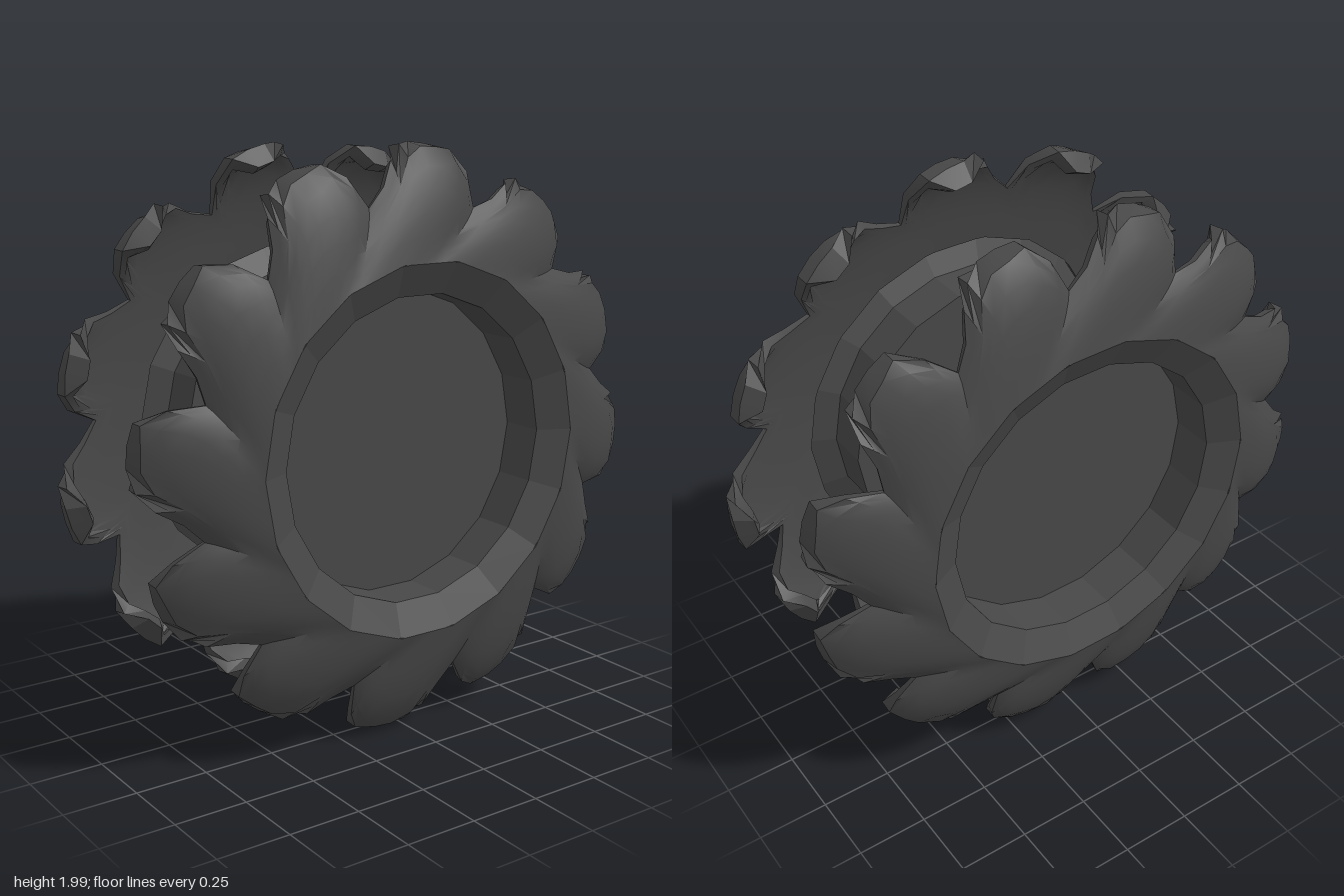
import * as THREE from 'three';
import { toCreasedNormals } from 'three/addons/utils/BufferGeometryUtils.js';

const TEETH = 12, ROWS = 7, RIM_SIDES = 18;
const RIM_R = 0.63, RIM_X = 0.445;
const rad = THREE.MathUtils.degToRad;
const lerp = THREE.MathUtils.lerp;

// Outer cross-section of the shell from rim to curled tooth tip: (distance along axle, radius)
const profile = new THREE.SplineCurve([
  [RIM_X, RIM_R], [0.412, 0.78], [0.372, 0.9], [0.33, 0.97], [0.275, 1.003], [0.222, 0.985], [0.197, 0.935],
].map(([x, r]) => new THREE.Vector2(x, r)));

// Columns across one tooth, from gap to gap: angle (degrees), length, groove depth
const columns = [
  [-16, 0.38, 0.04], [-12, 0.48, 0.03], [-8.5, 0.64, 0.02], [-5, 0.88, 0.008],
  [-1, 0.99, 0], [3, 1, 0], [7, 0.87, 0.01], [10.5, 0.6, 0.025],
];

// Point on the shell at profile position s, clockwise angle a, pushed off along the surface normal
function shellPoint(s, a, off) {
  const p = profile.getPointAt(s), t = profile.getTangentAt(s);
  const x = p.x + t.y * off;
  let r = p.y - t.x * off;
  // the root follows the many-sided rim
  const side = 2 * Math.PI / RIM_SIDES;
  const d = a - Math.round(a / side) * side;
  r *= lerp(Math.cos(side / 2) / Math.cos(d), 1, Math.min(1, s * 4));
  return [x, r * Math.cos(a), -r * Math.sin(a)];
}

// Toothed shell: closed cross-sections joined around the axle
function toothedShell() {
  const pos = [], idx = [];
  const n = TEETH * columns.length, m = 2 * (ROWS + 1);
  const tipPhase = 4, sweep = 14;
  for (let j = 0; j < n; j++) {
    const tooth = Math.floor(j / columns.length), c = j % columns.length;
    const [endDeg, len, groove] = columns[c];
    const rootDeg = -16 + 30 * c / columns.length - sweep;
    for (let k = 0; k < m; k++) {
      const inner = k > ROWS;
      const f = (inner ? m - 1 - k : k) / ROWS;
      const s = f * len;
      // the tooth roots trail behind, the free ends run straight
      const bend = Math.sin(Math.min(1, s * 2) * Math.PI / 2);
      const a = rad(tooth * 360 / TEETH + tipPhase + lerp(rootDeg, endDeg, bend));
      const thick = inner ? lerp(0.055, 0.055 - groove, f) : 0;
      pos.push(...shellPoint(s, a, -groove * f - thick));
    }
  }
  for (let j = 0; j < n; j++) {
    for (let k = 0; k < m; k++) {
      const j2 = (j + 1) % n, k2 = (k + 1) % m;
      const A = j * m + k, B = j2 * m + k, C = j2 * m + k2, D = j * m + k2;
      idx.push(A, B, C, A, C, D);
    }
  }
  const g = new THREE.BufferGeometry();
  g.setAttribute('position', new THREE.Float32BufferAttribute(pos, 3));
  g.setIndex(idx);
  return toCreasedNormals(g, rad(30));
}

// Recessed hub: sloped rim, straight wall and flat disc
function hubCup() {
  const pts = [[RIM_R, RIM_X], [0.52, 0.39], [0.52, 0.235], [0, 0.235]];
  const g = new THREE.LatheGeometry(pts.map(([r, x]) => new THREE.Vector2(r, x)), RIM_SIDES);
  return g.rotateZ(-Math.PI / 2);
}

export function createModel() {
  const color = 0x484848;
  const shellMat = new THREE.MeshStandardMaterial({ color });
  const hubMat = new THREE.MeshStandardMaterial({ color, flatShading: true, side: THREE.DoubleSide });
  const shellGeo = toothedShell(), hubGeo = hubCup();

  const model = new THREE.Group();
  model.name = 'toothedWheelPair';

  function addWheel(name, turnX, turnY) {
    const wheel = new THREE.Group();
    wheel.name = name;
    const shell = new THREE.Mesh(shellGeo, shellMat);
    shell.name = 'toothedShell';
    const hub = new THREE.Mesh(hubGeo, hubMat);
    hub.name = 'recessedHub';
    wheel.add(shell, hub);
    wheel.position.y = 1;
    wheel.rotation.set(turnX, turnY, 0);
    model.add(wheel);
  }

  // The right wheel is the left one turned about, with its teeth staggered
  addWheel('leftWheel', 0, 0);
  addWheel('rightWheel', -rad(22), Math.PI);
  return model;
}
